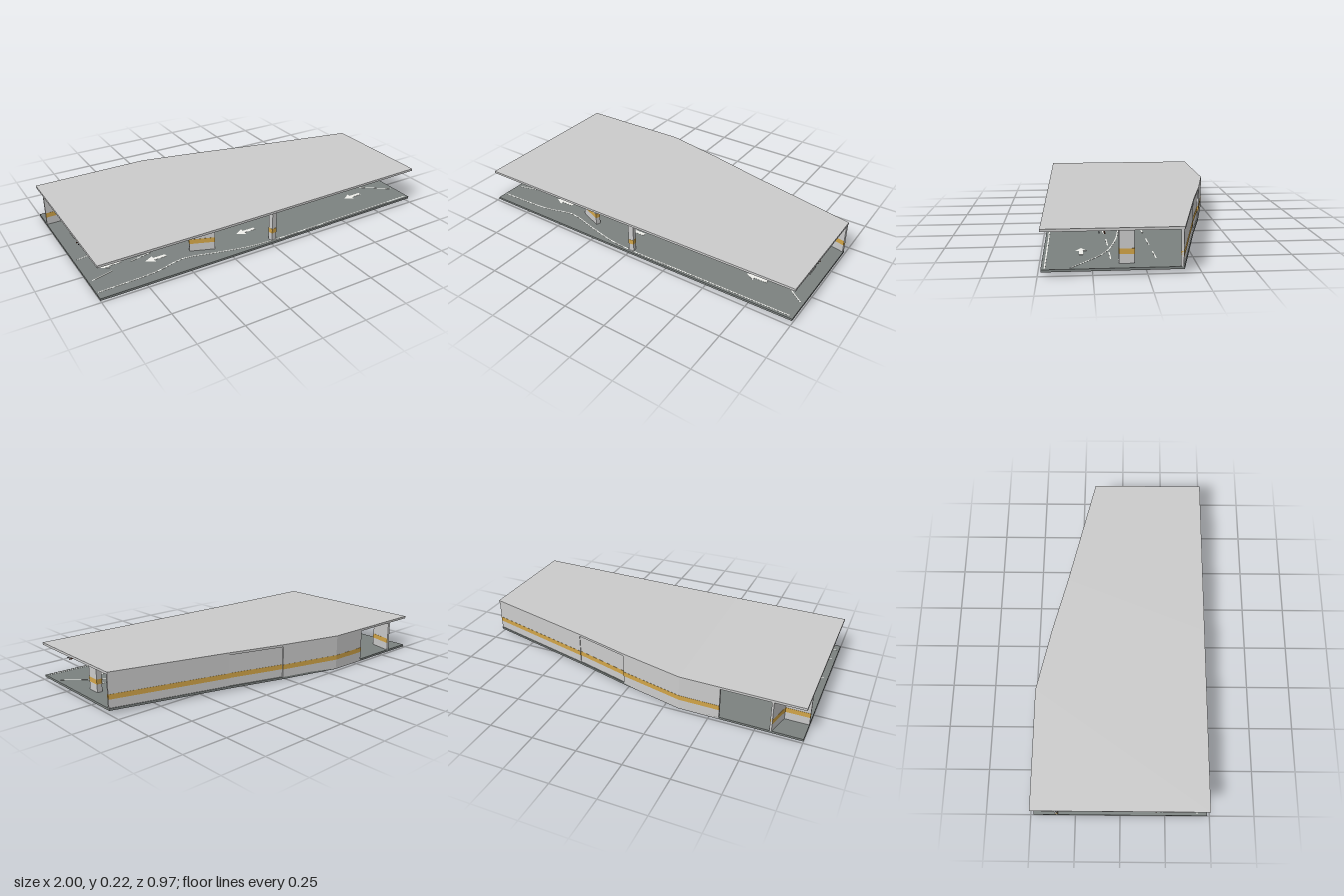
import * as THREE from 'three';
import { mergeGeometries } from 'three/addons/utils/BufferGeometryUtils.js';

const mat = (color, side = THREE.FrontSide) => new THREE.MeshStandardMaterial({ color, side });
const concrete = mat(0xcccccc), asphalt = mat(0x7c8280), ochre = mat(0xd2a548);
const white = mat(0xf0f0ec, THREE.DoubleSide), dark = mat(0x2b3036), copper = mat(0x6a3a28);

// the deck climbs gently from the right end to the left end
const rise = [[-1, 0], [-0.33, 0.004], [0.03, 0.008], [0.35, 0.012], [1, 0.02]];
function height(x) {
  for (let i = 1; i < rise.length; i++) {
    const [x0, y0] = rise[i - 1], [x1, y1] = rise[i];
    if (x <= x1 || i === rise.length - 1) return y0 + (y1 - y0) * (x - x0) / (x1 - x0);
  }
}
function bend(geo) {
  const p = geo.attributes.position;
  for (let i = 0; i < p.count; i++) p.setY(i, p.getY(i) + height(p.getX(i)));
  geo.computeVertexNormals();
  return geo;
}

// upright prism over a plan outline of [x, z] corners
function prism(plan, y0, y1) {
  const shape = new THREE.Shape(plan.map(([x, z]) => new THREE.Vector2(x, -z)));
  const geo = new THREE.ExtrudeGeometry(shape, { depth: y1 - y0, bevelEnabled: false });
  return bend(geo.rotateX(-Math.PI / 2).translate(0, y0, 0));
}
// plan of a straight wall from a to b, spanning offsets o0..o1 to its side
function band(a, b, o0, o1) {
  const dx = b[0] - a[0], dz = b[1] - a[1], l = Math.hypot(dx, dz);
  const at = (p, o) => [p[0] - dz / l * o, p[1] + dx / l * o];
  return [at(a, o0), at(b, o0), at(b, o1), at(a, o1)];
}
const rect = (x0, x1, z0, z1) => [[x0, z0], [x1, z0], [x1, z1], [x0, z1]];

export function createModel() {
  const model = new THREE.Group();
  const add = (name, geos, material) => {
    const list = Array.isArray(geos) ? geos : [geos];
    const mesh = new THREE.Mesh(list.length > 1 ? mergeGeometries(list) : list[0], material);
    mesh.name = name;
    model.add(mesh);
  };
  const FLOOR = 0.012, CEIL = 0.187, TOP = 0.2, S0 = 0.057, S1 = 0.084;

  // floor and roof slabs, in strips that follow the slope
  const edge = [[-1, -0.485], [-0.33, -0.485], [0.03, -0.405], [0.35, -0.322], [1, -0.17]];
  const slab = (y0, y1) => edge.slice(1).map((b, i) => {
    const a = edge[i];
    return prism([a, b, [b[0], 0.485], [a[0], 0.485]], y0, y1);
  });
  add('floorSlab', slab(0, FLOOR), asphalt);
  add('roofSlab', slab(CEIL, TOP), concrete);

  // back wall with its painted stripe; the left half is set back a little
  const runs = [
    [[-0.555, -0.485], edge[1], 0], [edge[1], edge[2], 0],
    [edge[2], edge[3], 0.007], [edge[3], edge[4], 0.004]];
  add('backWall', runs.map(([a, b, o]) => prism(band(a, b, o, o + 0.014), 0.001, TOP - 0.001)), concrete);
  add('backWallStripe', runs.map(([a, b, o]) => prism(band(a, b, o - 0.001, o + 0.015), S0, S1)), ochre);
  add('plainWallPanel', prism(band([0.345, -0.322], [0.72, -0.235], 0.012, 0.03), FLOOR, CEIL), concrete);

  // recessed wall beside the back opening
  const nook = [[[-1, -0.352], [-0.865, -0.352]], [[-0.865, -0.352], [-0.83, -0.485]]];
  add('recessWall', nook.map(([a, b]) => prism(band(a, b, -0.006, 0.006), FLOOR, CEIL)), concrete);
  add('recessWallStripe', nook.map(([a, b]) => prism(band(a, b, -0.007, 0.007), S0, S1)), ochre);

  // columns: plan centre, width, depth, turn
  const columns = [
    [0.915, 0.09, 0.03, 0.072, 0], [-0.17, 0.09, 0.03, 0.072, 0],
    [-0.895, -0.145, 0.05, 0.075, 0], [-0.612, -0.2, 0.035, 0.07, 0],
    [0.015, 0.455, 0.03, 0.028, 0.15], [-0.365, 0.343, 0.138, 0.026, -0.37]];
  columns.forEach(([x, z, w, d, turn]) => {
    const c = Math.cos(turn), s = Math.sin(turn);
    const plan = g => rect(-w / 2 - g, w / 2 + g, -d / 2 - g, d / 2 + g)
      .map(([u, v]) => [x + u * c + v * s, z - u * s + v * c]);
    add('column', prism(plan(0), FLOOR, CEIL), concrete);
    add('columnStripe', prism(plan(0.001), S0, S1), ochre);
  });

  // service pipes under the ceiling
  const pipe = (z, r, y) => rise.slice(1).map(([x1], i) => {
    const x0 = rise[i][0];
    return bend(new THREE.CylinderGeometry(r, r, x1 - x0, 8).rotateZ(Math.PI / 2).translate((x0 + x1) / 2, y, z));
  });
  add('thinPipe', pipe(0.22, 0.002, 0.177), dark);
  add('thickPipe', pipe(0.195, 0.0035, 0.175), copper);

  // hanging signs
  const sign = (name, x, z, m) => {
    add(name, prism(rect(x - 0.043, x + 0.043, z - 0.004, z + 0.004), 0.152, 0.176), m);
    add(name + 'Hangers', [-0.03, 0.03].map(o =>
      prism(rect(x + o - 0.002, x + o + 0.002, z - 0.002, z + 0.002), 0.176, CEIL)), dark);
  };
  sign('hangingSign', 0.48, -0.03, ochre);
  sign('hangingSign', 0.48, 0.292, ochre);

  // painted lane lines and direction arrows
  const paint = [], y0 = FLOOR - 0.0005, y1 = FLOOR + 0.0008;
  const line = (points, dashed) => {
    const curve = new THREE.CatmullRomCurve3(points.map(([x, z]) => new THREE.Vector3(x, 0, z)));
    const n = 32, p = curve.getSpacedPoints(n);
    for (let i = 0; i < n; i++) {
      if (dashed && i % 4 > 1) continue;
      paint.push(prism(band([p[i].x, p[i].z], [p[i + 1].x, p[i + 1].z], -0.003, 0.003), y0, y1));
    }
  };
  line([[-0.99, 0.43], [-0.66, 0.413], [-0.5, 0.375], [-0.3, 0.42], [-0.1, 0.462], [0.5, 0.468], [0.98, 0.468]]);
  line([[-0.98, 0.32], [-0.6, 0.23], [-0.1, 0.21], [0.45, 0.17], [0.98, 0.16]], true);
  line([[0.15, 0.08], [0.5, 0.12], [0.75, 0.19], [0.98, 0.35]]);
  line([[-0.98, 0.1], [-0.5, 0.02], [0, -0.02], [0.98, -0.06]], true);
  [[-0.85, 0.23], [-0.62, 0.3], [-0.07, 0.31], [0.71, 0.3]].forEach(([x, z]) => {
    const plan = [[-0.06, 0], [-0.01, -0.028], [-0.01, -0.01], [0.06, -0.01], [0.06, 0.01], [-0.01, 0.01], [-0.01, 0.028]];
    paint.push(prism(plan.map(([u, v]) => [x + u, z + v]), y0, y1));
  });
  add('roadMarkings', paint, white);

  return model;
}
